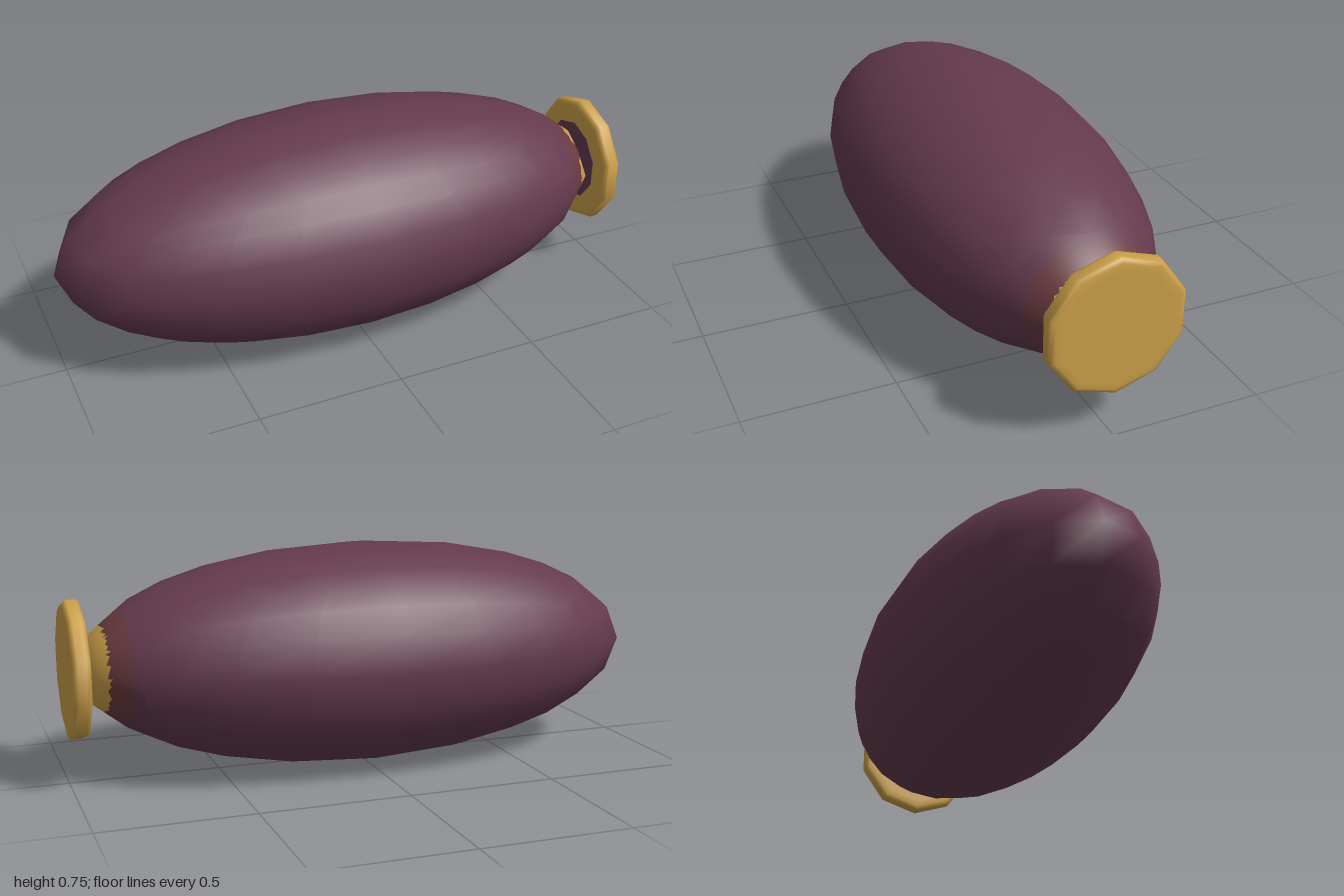
import * as THREE from 'three';

const plum = new THREE.MeshStandardMaterial({ name: 'plum', color: 0x643a4d });
const russet = new THREE.MeshStandardMaterial({ name: 'russet', color: 0x693a40 });
const gold = new THREE.MeshStandardMaterial({ name: 'gold', color: 0xcb9f48 });

const RADII = new THREE.Vector3(0.983, 0.376, 0.435);
const CENTER = new THREE.Vector3(-0.017, 0.378, 0);

// Split a triangle into four, several times
function split([a, b, c], depth) {
  if (depth === 0) return [[a, b, c]];
  const mid = (p, q) => p.clone().lerp(q, 0.5);
  const ab = mid(a, b), bc = mid(b, c), ca = mid(c, a);
  return [[a, ab, ca], [ab, b, bc], [ca, bc, c], [ab, bc, ca]].flatMap(t => split(t, depth - 1));
}

// Ellipsoid from a rounded-out box, sorted into colour bands near its +x end
function bodyGeometry() {
  const pos = new THREE.BoxGeometry(2, 2, 2, 6, 6, 6).toNonIndexed().attributes.position;
  const bands = [[], [], []];
  for (let i = 0; i < pos.count; i += 3) {
    const tri = [0, 1, 2].map(k => new THREE.Vector3().fromBufferAttribute(pos, i + k).normalize());
    const nearCollar = tri.some(v => v.x > 0.84);
    for (const t of split(tri, nearCollar ? 3 : 0)) {
      const x = (t[0].x + t[1].x + t[2].x) / 3 * RADII.x + CENTER.x;
      bands[x > 0.88 ? 2 : x > 0.82 ? 1 : 0].push(...t);
    }
  }
  const geo = new THREE.BufferGeometry();
  const all = bands.flat();
  const normals = all.map(v => v.clone().divide(RADII).normalize());
  const points = all.map(v => v.clone().multiply(RADII));
  geo.setAttribute('position', new THREE.Float32BufferAttribute(points.flatMap(v => v.toArray()), 3));
  geo.setAttribute('normal', new THREE.Float32BufferAttribute(normals.flatMap(v => v.toArray()), 3));
  let start = 0;
  bands.forEach((band, i) => {
    geo.addGroup(start, band.length, i);
    start += band.length;
  });
  return geo;
}

// Ten-sided turned shape, laid along the x axis
function turned(profile, material, name) {
  const points = profile.map(([r, h]) => new THREE.Vector2(r, h));
  const geo = new THREE.LatheGeometry(points, 10, Math.PI / 2).rotateZ(-Math.PI / 2);
  const mesh = new THREE.Mesh(geo, material);
  mesh.name = name;
  mesh.position.y = CENTER.y;
  return mesh;
}

export function createModel() {
  const model = new THREE.Group();
  model.name = 'model';

  // Long body with the coloured collar
  const body = new THREE.Mesh(bodyGeometry(), [plum, russet, gold]);
  body.name = 'body';
  body.position.copy(CENTER);
  model.add(body);

  // End disc with a softened rim
  model.add(turned([
    [0, 0.942], [0.19, 0.942], [0.212, 0.942], [0.225, 0.947], [0.23, 0.957],
    [0.23, 0.985], [0.225, 0.995], [0.212, 1], [0.19, 1], [0, 1],
  ], gold, 'endDisc'));

  // Thin painted ring on the inner side of the disc
  model.add(turned([[0, 0.939], [0.145, 0.939], [0.145, 0.942]], plum, 'discInnerRing'));
  return model;
}
